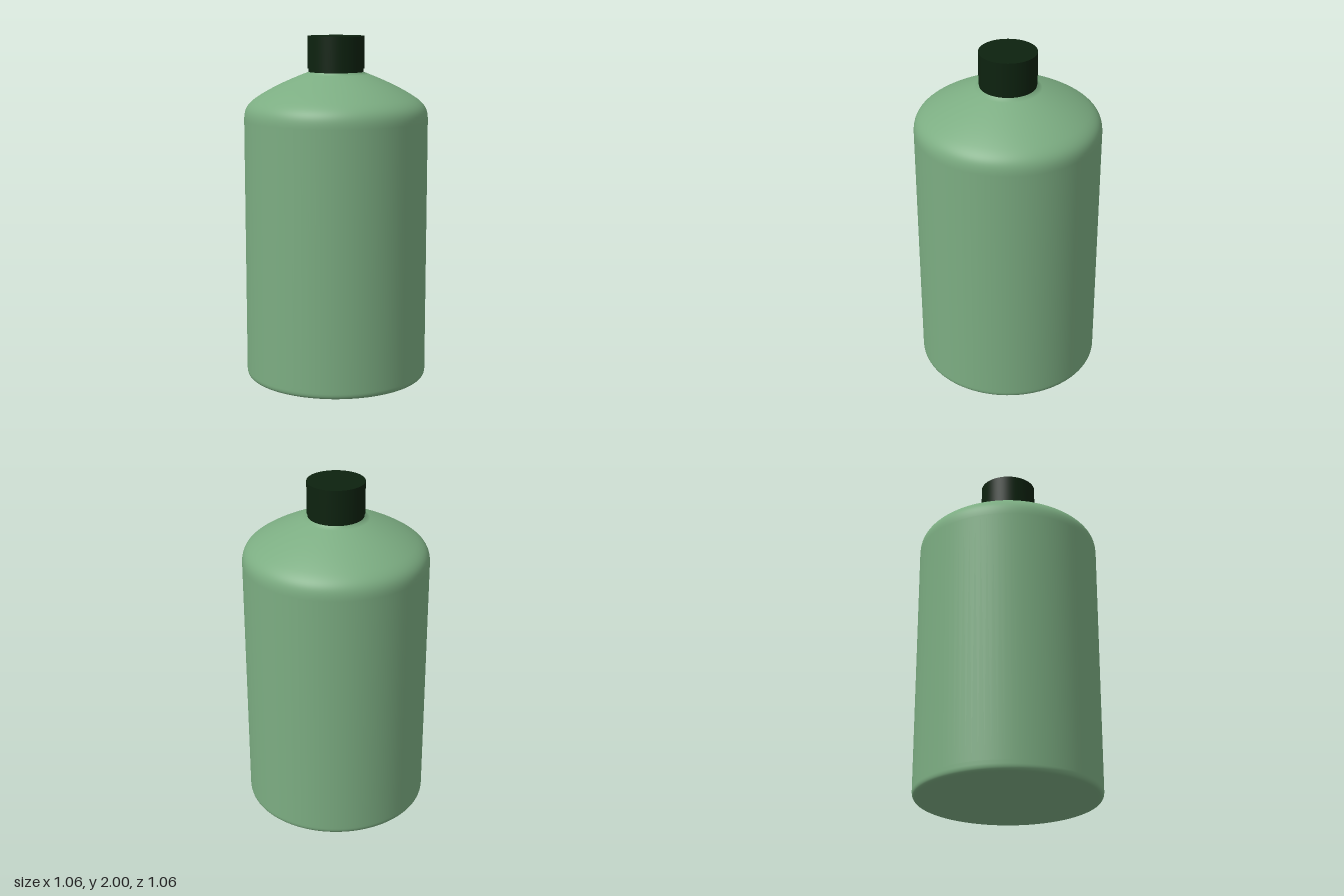
import * as THREE from 'three';

const SEGMENTS = 96;

export function createModel() {
  const group = new THREE.Group();
  const bottleGreen = new THREE.MeshStandardMaterial({ color: 0x7cad82 });
  bottleGreen.name = 'bottle green';
  const capGreen = new THREE.MeshStandardMaterial({ color: 0x0d220f });
  capGreen.name = 'dark cap green';

  const add = (name, path, material) => {
    const points = path.extractPoints ? path.extractPoints(12).shape : path.getPoints(12);
    const mesh = new THREE.Mesh(new THREE.LatheGeometry(points, SEGMENTS), material);
    mesh.name = name;
    group.add(mesh);
  };

  // Body: flat base, small bottom fillet, straight wall, domed shoulder and neck
  const body = new THREE.Path();
  body.moveTo(0, 0.005);
  body.lineTo(0.495, 0.005);
  body.lineTo(0.505, 0.005);
  body.quadraticCurveTo(0.53, 0.006, 0.53, 0.04);
  body.lineTo(0.53, 0.06);
  body.lineTo(0.53, 1.52);
  body.bezierCurveTo(0.53, 1.58, 0.515, 1.61, 0.46, 1.648);
  body.bezierCurveTo(0.39, 1.695, 0.29, 1.745, 0.157, 1.795);
  body.lineTo(0.155, 1.83);
  add('bottleBody', body, bottleGreen);

  // Cap: plain cylinder with a slim recess where it meets the neck
  const cap = new THREE.Mesh(new THREE.CylinderGeometry(0.163, 0.163, 0.185, SEGMENTS), capGreen);
  cap.name = 'cap';
  cap.position.y = 1.9075;
  group.add(cap);

  const collar = new THREE.Mesh(new THREE.CylinderGeometry(0.159, 0.159, 0.03, SEGMENTS), capGreen);
  collar.name = 'capCollar';
  collar.position.y = 1.811;
  group.add(collar);

  return group;
}
